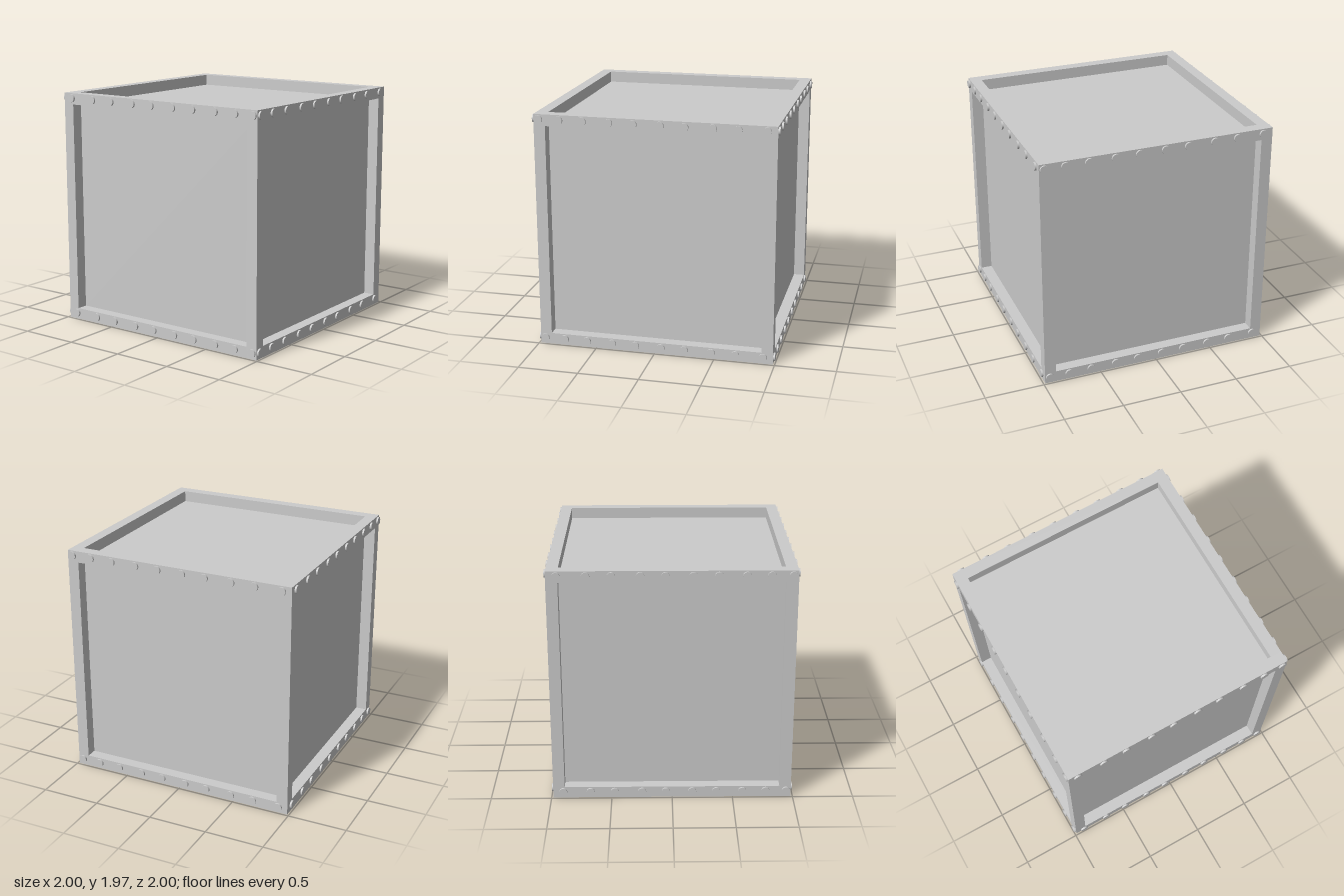
import * as THREE from 'three';

const HALF = 0.985;           // half of the frame's outer size
const BAR = 0.095;            // frame bar thickness, also the panel recess
const INNER = HALF - BAR;
const RIVET_R = 0.034;
const RIVET_OUT = 0.015;
// slightly uneven rivet spacing along each edge
const RIVETS = [-0.944, -0.775, -0.582, -0.365, -0.166, 0.052, 0.249, 0.475, 0.675, 0.903];

export function createModel() {
  const model = new THREE.Group();
  model.name = 'crate';
  const material = new THREE.MeshStandardMaterial({ color: 0xcccccc });

  const add = (parent, name, geometry, x, y, z) => {
    const mesh = new THREE.Mesh(geometry, material);
    mesh.name = name;
    mesh.position.set(x, y, z);
    parent.add(mesh);
    return mesh;
  };

  // inner box whose faces are the recessed panels
  add(model, 'panels', new THREE.BoxGeometry(2 * INNER, 2 * INNER, 2 * INNER), 0, HALF, 0);

  // twelve frame bars: posts run full height, rails fit between them
  const frame = new THREE.Group();
  frame.name = 'frame';
  model.add(frame);
  const post = new THREE.BoxGeometry(BAR, 2 * HALF, BAR);
  const railX = new THREE.BoxGeometry(2 * INNER, BAR, BAR);
  const railZ = new THREE.BoxGeometry(BAR, BAR, 2 * INNER);
  const mid = HALF - BAR / 2;
  for (const a of [-1, 1]) {
    for (const b of [-1, 1]) {
      add(frame, 'cornerPost', post, a * mid, HALF, b * mid);
      add(frame, 'crossRail', railX, 0, HALF + a * mid, b * mid);
      add(frame, 'sideRail', railZ, b * mid, HALF + a * mid, 0);
    }
  }

  // rivets along the top and bottom rails of all four sides
  const rivets = new THREE.Group();
  rivets.name = 'rivets';
  model.add(rivets);
  const depth = RIVET_OUT + 0.02;
  const rivet = new THREE.CylinderGeometry(RIVET_R, RIVET_R, depth, 24);
  const out = HALF + RIVET_OUT - depth / 2;
  for (const y of [0.053, 1.928]) {
    for (const side of [-1, 1]) {
      for (const u of RIVETS) {
        add(rivets, 'rivet', rivet, u, y, side * out).rotation.x = Math.PI / 2;
        add(rivets, 'rivet', rivet, side * out, y, -u).rotation.z = Math.PI / 2;
      }
    }
  }
  return model;
}
